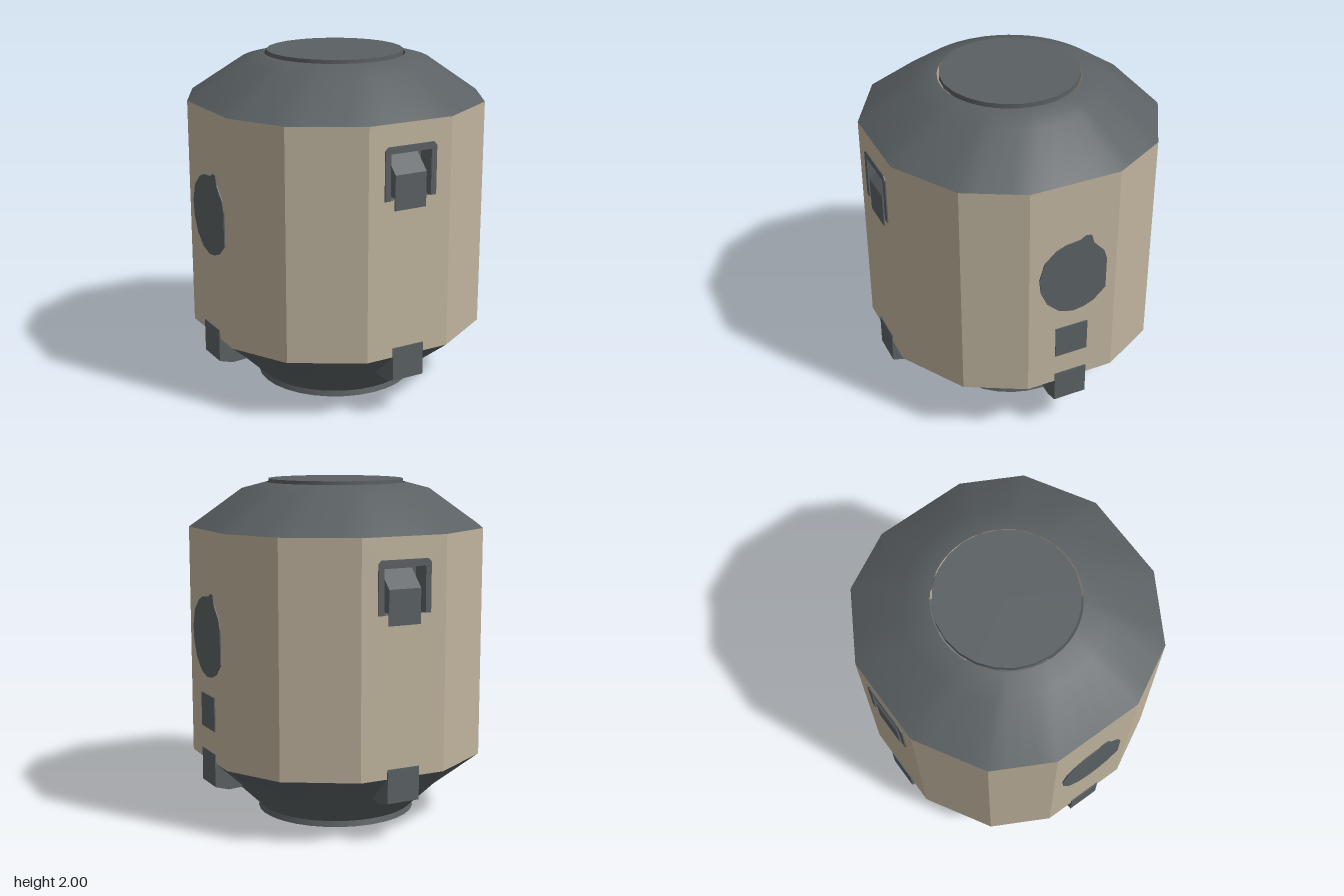
import * as THREE from 'three';

const dark = new THREE.MeshStandardMaterial({ color: 0x5a6063 });
dark.name = 'slate grey';
dark.side = THREE.DoubleSide;
const beige = new THREE.MeshStandardMaterial({ color: 0xbfb39d });
beige.name = 'sand beige';
beige.side = THREE.DoubleSide;

const FACE = 0.826, OUT = 0.833, WALL_LOW = 0.38, WALL_TOP = 1.725;

// Twelve-sided plan, as [x, z], running counter-clockwise in angle
const corners = [];
const quadrant = [[FACE, 0.27], [0.65, 0.6], [0.265, FACE]];
for (const [sx, sz, flip] of [[1, 1, 0], [-1, 1, 1], [-1, -1, 0], [1, -1, 1]]) {
  const q = flip ? [...quadrant].reverse() : quadrant;
  q.forEach(([x, z]) => corners.push([x * sx, z * sz]));
}

function mesh(name, geometry, material, parent) {
  const m = new THREE.Mesh(geometry, material);
  m.name = name;
  parent.add(m);
  return m;
}

// Points around the plan, each edge split into four
const plan = corners.flatMap(([x, z], i) => {
  const [x2, z2] = corners[(i + 1) % corners.length];
  return [0, 0.25, 0.5, 0.75].map(t => [x + (x2 - x) * t, z + (z2 - z) * t]);
});

// Skin through rings [y, radius]; radius null means the twelve-sided plan
function loft(rings) {
  const n = plan.length, pos = [], index = [];
  rings.forEach(([y, r], k) => {
    plan.forEach(([x, z], i) => {
      const s = r === null ? 1 : r / Math.hypot(x, z);
      pos.push(x * s, y, z * s);
      if (k === 0) return;
      const j = (i + 1) % n, a = (k - 1) * n, b = k * n;
      index.push(a + i, b + i, a + j, a + j, b + i, b + j);
    });
  });
  const g = new THREE.BufferGeometry();
  g.setAttribute('position', new THREE.Float32BufferAttribute(pos, 3));
  g.setIndex(index);
  g.computeVertexNormals();
  return g;
}

function rectPath(path, x0, y0, x1, y1) {
  path.moveTo(x0, y0);
  path.lineTo(x1, y0);
  path.lineTo(x1, y1);
  path.lineTo(x0, y1);
  path.closePath();
  return path;
}

// Extrude a side profile of [z, y] points across x, centred
function wedge(points, width) {
  const shape = new THREE.Shape(points.map(([z, y]) => new THREE.Vector2(-z, y)));
  const g = new THREE.ExtrudeGeometry(shape, { depth: width, bevelEnabled: false });
  g.translate(0, 0, -width / 2);
  g.rotateY(Math.PI / 2);
  return g;
}

// Recessed latch in a chamfered frame, facing +z
function makeLatch() {
  const g = new THREE.Group();
  g.name = 'latch';
  const c = 0.02, w = 0.165;
  const outline = new THREE.Shape([
    [-w, 1.3], [-w, 1.6 - c], [-w + c, 1.6], [w - c, 1.6], [w, 1.6 - c], [w, 1.3],
    [0.13, 1.3], [0.13, 1.56], [-0.13, 1.56], [-0.13, 1.3],
  ].map(p => new THREE.Vector2(...p)));
  const frame = new THREE.ExtrudeGeometry(outline, { depth: OUT - FACE, bevelEnabled: false });
  mesh('latchFrame', frame, dark, g).position.z = FACE;
  // Recess lining
  const depth = 0.1;
  const hole = new THREE.Shape([[-0.13, 1.3], [0.13, 1.3], [0.13, 1.56], [-0.13, 1.56]]
    .map(p => new THREE.Vector2(...p)));
  mesh('recessBack', new THREE.ShapeGeometry(hole), dark, g).position.z = FACE - depth;
  for (const s of [-1, 1]) {
    const side = mesh('recessSide', new THREE.PlaneGeometry(depth, 0.26), dark, g);
    side.position.set(s * 0.13, 1.43, FACE - depth / 2);
    side.rotation.y = -s * Math.PI / 2;
    const lid = mesh('recessLid', new THREE.PlaneGeometry(0.26, depth), dark, g);
    lid.position.set(0, 1.43 + s * 0.13, FACE - depth / 2);
    lid.rotation.x = s * Math.PI / 2;
  }
  // Sloped catch with its hanging plate
  mesh('latchCatch', wedge([[0.73, 1.31], [FACE, 1.31], [OUT, 1.44], [0.73, 1.54]], 0.2), dark, g);
  mesh('latchPlate', new THREE.BoxGeometry(0.2, 0.2, 0.007), dark, g)
    .position.set(0, 1.34, OUT - 0.0035);
  return g;
}

// Round port plate with a small lug and one trimmed edge, facing +x
function makePort() {
  const outline = [
    [0.21, 1.15], [0.18, 1.25], [0.11, 1.315], [0.05, 1.34], [-0.04, 1.35], [-0.07, 1.37],
    [-0.105, 1.365], [-0.12, 1.31], [-0.185, 1.24], [-0.205, 1.18], [-0.205, 0.98],
    [-0.13, 0.91], [-0.07, 0.885], [0, 0.875], [0.085, 0.9], [0.16, 0.97], [0.2, 1.06],
  ].map(([z, y]) => new THREE.Vector2(-z, y));
  const g = new THREE.ExtrudeGeometry(new THREE.Shape(outline), { depth: OUT - FACE, bevelEnabled: false });
  g.translate(0, 0, FACE);
  g.rotateY(Math.PI / 2);
  return g;
}

export function createModel() {
  const model = new THREE.Group();
  model.name = 'tank';

  // Twelve wall panels; front and back are cut out for the latches
  const h = WALL_TOP - WALL_LOW;
  corners.forEach(([x, z], i) => {
    const [x2, z2] = corners[(i + 1) % corners.length];
    const len = Math.hypot(x2 - x, z2 - z);
    const shape = rectPath(new THREE.Shape(), -len / 2, WALL_LOW, len / 2, WALL_TOP);
    const mx = (x + x2) / 2, mz = (z + z2) / 2;
    if (Math.abs(mx) < 0.01) shape.holes.push(rectPath(new THREE.Path(), -0.13, 1.3, 0.13, 1.56));
    const panel = mesh('wallPanel', new THREE.ShapeGeometry(shape), beige, model);
    panel.position.set(mx, 0, mz);
    panel.rotation.y = Math.atan2(z2 - z, x - x2) + 0;
    panel.rotation.y = Math.atan2(z2 - z, -(x2 - x));
  });

  // Domed roof and top disc
  mesh('roof', loft([[WALL_TOP, null], [1.94, 0.56], [1.98, 0.41]]), dark, model);
  mesh('topDisc', new THREE.CylinderGeometry(0.4, 0.4, 0.03, 24), dark, model).position.y = 1.985;

  // Tapered underside and foot
  mesh('underside', loft([[0.035, 0.47], [0.2, 0.64], [WALL_LOW, null]]), dark, model);
  mesh('foot', new THREE.CylinderGeometry(0.465, 0.475, 0.04, 32), dark, model).position.y = 0.02;

  // Feet brackets on all four sides
  const bracket = wedge([[0.66, 0.22], [0.75, 0.215], [OUT, 0.24], [OUT, 0.435], [0.815, 0.435]], 0.2);
  for (let i = 0; i < 4; i++) {
    mesh('lowerBracket', bracket, dark, model).rotation.y = i * Math.PI / 2;
  }

  // Latches front and back, ports on both sides
  const port = makePort();
  for (const turn of [0, Math.PI]) {
    const latch = makeLatch();
    latch.rotation.y = turn;
    model.add(latch);
    mesh('port', port, dark, model).rotation.y = turn;
  }

  // Single square plate below one port
  mesh('squarePlate', new THREE.BoxGeometry(0.007, 0.2, 0.2), dark, model)
    .position.set(OUT - 0.0035, 0.67, 0);

  return model;
}
